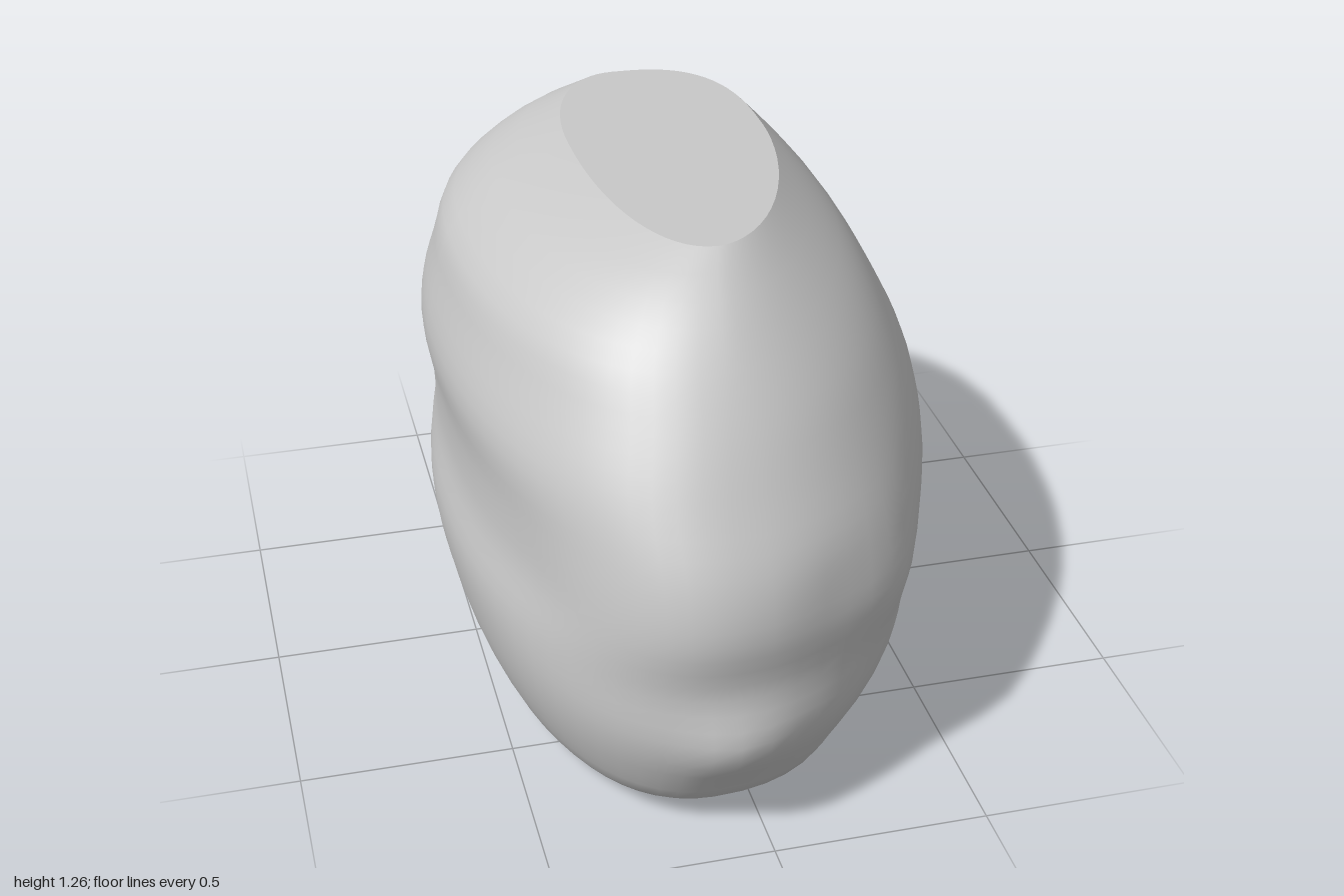
import * as THREE from 'three';

const SIDES = 64;
const RINGS = 34;
const HEIGHT = 1.262;

// Horizontal cross-sections: y, then xMin, xMax, zBack, zFront, x of the nose
const SECTIONS = [
  [0, -0.44, 0.39, -0.59, 0.74, -0.12],
  [0.05, -0.475, 0.43, -0.66, 0.845, -0.11],
  [0.14, -0.52, 0.47, -0.74, 0.91, -0.1],
  [0.27, -0.56, 0.515, -0.83, 0.965, -0.08],
  [0.42, -0.58, 0.55, -0.92, 0.965, -0.08],
  [0.56, -0.555, 0.575, -0.985, 0.985, -0.08],
  [0.68, -0.555, 0.575, -0.995, 0.96, -0.08],
  [0.83, -0.575, 0.55, -0.945, 0.88, -0.08],
  [0.98, -0.54, 0.48, -0.84, 0.79, -0.06],
  [1.09, -0.5, 0.415, -0.74, 0.71, -0.05],
  [1.17, -0.41, 0.35, -0.65, 0.635, -0.04],
  [1.22, -0.33, 0.305, -0.585, 0.57, -0.03],
  [HEIGHT, -0.21, 0.265, -0.53, 0.5, -0.01],
];
const profile = new THREE.CubicInterpolant(
  SECTIONS.map((s) => s[0]), SECTIONS.flatMap((s) => s.slice(1)), 5);

// Roundness of each quarter at the base, belly and top
const ROUNDNESS = {
  frontLeft: [2.2, 2.12, 1.75],
  backLeft: [2.2, 2.7, 2.8],
  backRight: [1.45, 1.88, 2.1],
  frontRight: [2.15, 2.2, 2.2],
};

// Soft bulges and hollows: x, y, z, radius, amount
const BUMPS = [
  [0.54, 0.36, 0.05, 0.13, 0.02],
  [0.56, 0.52, 0.12, 0.12, -0.012],
  [0.47, 0.47, 0.48, 0.15, -0.018],
  [0.3, 0.51, 0.78, 0.13, 0.02],
  [0.15, 0.6, 0.92, 0.12, -0.015],
  [0.3, 0.08, 0.7, 0.2, -0.03],
  [-0.07, 0.265, 1.0, 0.11, 0.036],
  [-0.45, 0.52, 0.62, 0.15, -0.01],
  [0.0, 0.87, -0.95, 0.13, 0.02],
];

function roundness(y, left, front) {
  const [base, belly, top] =
    ROUNDNESS[(front ? 'front' : 'back') + (left ? 'Left' : 'Right')];
  const low = THREE.MathUtils.lerp(base, belly, THREE.MathUtils.smoothstep(y, 0, 0.5));
  return THREE.MathUtils.lerp(low, top, THREE.MathUtils.smoothstep(y, 0.95, HEIGHT));
}

// One point on a section, as a lopsided superellipse pushed by the bumps
function sectionPoint(y, angle) {
  const [x0, x1, z0, z1, noseX] = profile.evaluate(y);
  const s = Math.sin(angle), c = Math.cos(angle);
  const power = 2 / roundness(y, s > 0, c > 0);
  const u = Math.abs(s) ** power, v = Math.abs(c) ** power;
  const midZ = 0.06 - 0.14 * y;
  const p = new THREE.Vector3(
    noseX + u * ((s > 0 ? x1 : x0) - noseX), y,
    midZ + v * ((c > 0 ? z1 : z0) - midZ));
  let push = 0;
  for (const [bx, by, bz, r, amount] of BUMPS) {
    const d2 = (p.x - bx) ** 2 + (y - by) ** 2 + (p.z - bz) ** 2;
    push += amount * Math.exp(-d2 / (r * r));
  }
  p.x += s * push;
  p.z += c * push;
  return p;
}

export function createModel() {
  const stone = new THREE.MeshStandardMaterial({ color: 0xc8c8c8 });
  stone.name = 'grey stone';
  const group = new THREE.Group();
  group.name = 'boulder';
  const add = (name, points, index) => {
    const geometry = new THREE.BufferGeometry().setFromPoints(points);
    geometry.setIndex(index);
    geometry.computeVertexNormals();
    const mesh = new THREE.Mesh(geometry, stone);
    mesh.name = name;
    group.add(mesh);
  };

  const rings = Array.from({ length: RINGS + 1 }, (_, i) =>
    Array.from({ length: SIDES }, (_, j) =>
      sectionPoint((i / RINGS) * HEIGHT, (j / SIDES) * Math.PI * 2)));

  // Rounded flanks, smooth all the way round
  const index = [];
  for (let i = 0; i < RINGS; i++) {
    for (let j = 0; j < SIDES; j++) {
      const a = i * SIDES + j, b = i * SIDES + (j + 1) % SIDES;
      index.push(a, b, b + SIDES, a, b + SIDES, a + SIDES);
    }
  }
  add('flanks', rings.flat(), index);

  // Flat worn top and flat base
  const cap = (name, ring, up) => {
    const centre = new THREE.Vector3(0, ring[0].y, 0);
    const fan = [];
    for (let j = 0; j < SIDES; j++) {
      const k = (j + 1) % SIDES;
      fan.push(SIDES, up ? j : k, up ? k : j);
    }
    add(name, [...ring, centre], fan);
  };
  cap('flatTop', rings[RINGS], true);
  cap('flatBase', rings[0], false);
  return group;
}
